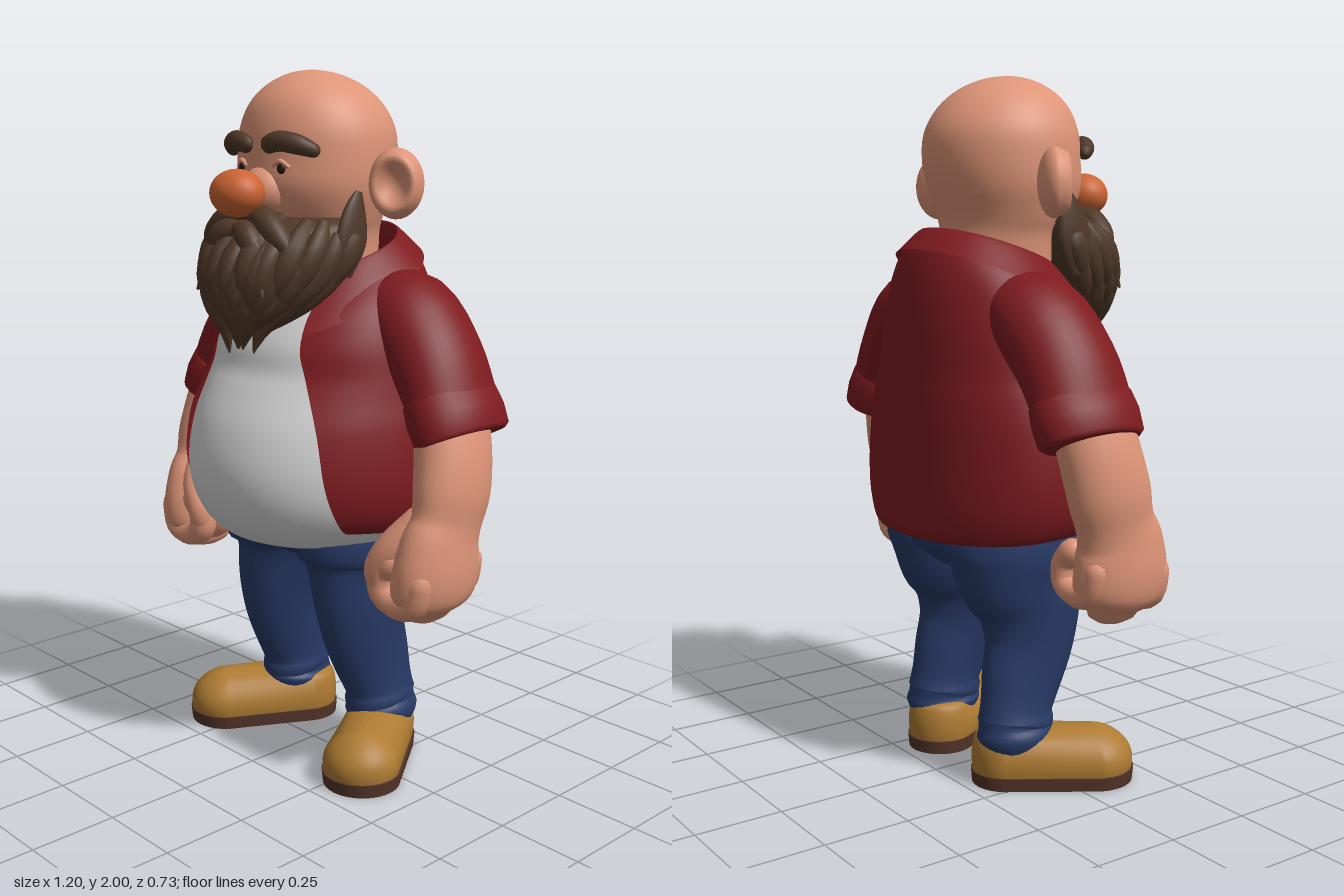
import * as THREE from 'three';
import { mergeVertices } from 'three/addons/utils/BufferGeometryUtils.js';

const V = (x, y, z) => new THREE.Vector3(x, y, z);
const TAU = Math.PI * 2;

// Smoothly interpolate rows of numbers, n steps per gap
function smooth(rows, n = 4) {
  const out = [];
  const at = i => rows[Math.min(rows.length - 1, Math.max(0, i))];
  for (let i = 0; i < rows.length - 1; i++) for (let k = 0; k < n; k++) {
    const t = k / n, [a, b, c, d] = [at(i - 1), at(i), at(i + 1), at(i + 2)];
    out.push(b.map((p, j) => 0.5 * (2 * p + (c[j] - a[j]) * t
      + (2 * a[j] - 5 * p + 4 * c[j] - d[j]) * t * t + (3 * p - a[j] - 3 * c[j] + d[j]) * t * t * t)));
  }
  out.push(rows[rows.length - 1]);
  return out;
}

// Skin rings of points; closed rings wrap round and get flat caps
function loft(rings, closed = true) {
  const m = rings[0].length, pos = [], idx = [];
  rings.forEach(r => r.forEach(p => pos.push(p.x, p.y, p.z)));
  for (let i = 0; i < rings.length - 1; i++) for (let j = 0; j < (closed ? m : m - 1); j++) {
    const k = (j + 1) % m, a = i * m + j, b = i * m + k, c = a + m, d = b + m;
    idx.push(a, b, d, a, d, c);
  }
  if (closed) [rings[0], rings[rings.length - 1]].forEach((r, end) => {
    const base = pos.length / 3, mid = V(0, 0, 0);
    r.forEach(p => { pos.push(p.x, p.y, p.z); mid.addScaledVector(p, 1 / m); });
    pos.push(mid.x, mid.y, mid.z);
    for (let j = 0; j < m; j++) {
      const k = base + (j + 1) % m;
      idx.push(base + m, end ? base + j : k, end ? k : base + j);
    }
  });
  const g = new THREE.BufferGeometry();
  g.setAttribute('position', new THREE.Float32BufferAttribute(pos, 3));
  g.setIndex(idx);
  g.computeVertexNormals();
  return g;
}

// Point on a level body ring; row = [y, half width, front z, back z, middle z, forward tilt]
function bodyPoint([y, rx, zf, zb, zc = 0, tilt = 0], a, n = 2) {
  const pw = v => Math.sign(v) * Math.abs(v) ** (2 / n), c = pw(Math.cos(a));
  const dz = c * (c > 0 ? zf - zc : zc - zb);
  return V(pw(Math.sin(a)) * rx, y - tilt * dz, zc + dz);
}
const body = (rows, n = 2, seg = 48) => loft(smooth(rows).map(r =>
  Array.from({ length: seg }, (_, j) => bodyPoint(r, j / seg * TAU, n))));

// Garment open at the front; the seventh number of a row is the half gap
const openBody = (rows, n, seg = 56) => loft(smooth(rows).map(r => {
  const a0 = Math.asin(Math.min(1, r[6] / r[1]) ** (n / 2));
  return Array.from({ length: seg + 1 }, (_, j) => bodyPoint(r, a0 + (TAU - 2 * a0) * j / seg, n));
}), false);

// Limb along a path; row = [x, y, z, half width, half depth along ref]
function limb(rows, { ref = V(0, 0, 1), n = 4, seg = 20, round = false } = {}) {
  const r = smooth(rows, n), P = r.map(q => V(q[0], q[1], q[2]));
  const ringAt = (i, push, s) => {
    const t = P[Math.min(i + 1, P.length - 1)].clone().sub(P[Math.max(i - 1, 0)]).normalize();
    const u = ref.clone().cross(t).normalize(), v = t.clone().cross(u);
    const A = r[i][3] * s, B = r[i][4] * s, c = P[i].clone().addScaledVector(t, push * r[i][3]);
    return Array.from({ length: seg }, (_, j) => c.clone()
      .addScaledVector(u, A * Math.cos(j / seg * TAU)).addScaledVector(v, B * Math.sin(j / seg * TAU)));
  };
  const rings = P.map((_, i) => ringAt(i, 0, 1)), e = P.length - 1;
  if (round) for (const [push, s] of [[0.5, 0.86], [0.85, 0.52], [0.98, 0.15]]) {
    rings.unshift(ringAt(0, -push, s));
    rings.push(ringAt(e, push, s));
  }
  return loft(rings);
}

function mirror(geo) {
  const g = geo.clone().scale(-1, 1, 1), ix = g.index.array;
  for (let i = 0; i < ix.length; i += 3) [ix[i], ix[i + 1]] = [ix[i + 1], ix[i]];
  g.computeVertexNormals();
  return g;
}

export function createModel() {
  const model = new THREE.Group();
  model.name = 'beardedMan';
  const mat = (name, color, side = THREE.FrontSide) => {
    const m = new THREE.MeshStandardMaterial({ color, side });
    m.name = name;
    return m;
  };
  const skin = mat('skin', 0xde9578), noseMat = mat('nose', 0xcc6433), hair = mat('hair', 0x4f3828);
  const red = mat('redShirt', 0x7e1b1f, THREE.DoubleSide), white = mat('undershirt', 0xd6d6d6, THREE.DoubleSide);
  const denim = mat('denim', 0x273a66), tan = mat('tanShoe', 0xae7b33), soleMat = mat('sole', 0x523428);
  const dark = mat('eye', 0x24160f);
  const add = (name, geo, m) => {
    const mesh = new THREE.Mesh(geo, m);
    mesh.name = name;
    model.add(mesh);
  };
  const pair = (name, geo, m) => { add(name + 'Left', geo, m); add(name + 'Right', mirror(geo), m); };

  // Head, neck and nose
  add('head', body([[1.4, .17, .08, -.2], [1.54, .18, .12, -.19], [1.6, .2, .17, -.192], [1.68, .225, .208, -.222],
    [1.76, .23, .206, -.24], [1.84, .222, .2, -.235], [1.91, .187, .177, -.195], [1.96, .132, .132, -.135],
    [1.99, .065, .075, -.062], [2, .004, .018, .01]]), skin);
  add('noseBridge', new THREE.SphereGeometry(1, 24, 16).scale(.075, .07, .07).translate(0, 1.675, .175), skin);
  add('nose', new THREE.SphereGeometry(1, 32, 20).scale(.083, .065, .07).translate(0, 1.67, .283), noseMat);

  // Ears: flattened balls with a dished front
  const ball = new THREE.SphereGeometry(1, 32, 24).rotateX(Math.PI / 2);
  ball.deleteAttribute('uv');
  ball.deleteAttribute('normal');
  const ear = mergeVertices(ball, 1e-4), ep = ear.attributes.position;
  for (let i = 0; i < ep.count; i++) if (ep.getZ(i) > 0) {
    const r = Math.min(1, Math.hypot(ep.getX(i), ep.getY(i)));
    ep.setZ(i, .25 * (1 - r * r) + .75 * Math.sin(Math.PI * r ** 2.2));
  }
  ear.scale(.078, .096, .046).rotateY(.5).translate(.283, 1.695, -.04);
  ear.computeVertexNormals();
  pair('ear', ear, skin);

  // Eyes, lids and brows
  pair('eye', new THREE.SphereGeometry(1, 16, 12).scale(.014, .015, .01).translate(.08, 1.735, .194), dark);
  pair('eyelid', limb([[.058, 1.742, .201, .005, .006], [.08, 1.755, .198, .007, .008], [.104, 1.74, .189, .005, .006]],
    { seg: 8, round: true }), skin);
  pair('eyebrow', limb([[.05, 1.8, .21, .026, .022], [.09, 1.808, .206, .028, .026], [.135, 1.799, .184, .027, .026],
    [.166, 1.784, .157, .02, .02]], { round: true }), hair);

  // Beard: solid core with layers of pointed tufts
  const core = [[1.29, .03, .295, .22, .26], [1.35, .11, .325, .14, .21], [1.42, .18, .338, .07, .14],
    [1.5, .22, .325, .03, .09], [1.56, .228, .28, .01, .07], [1.59, .215, .235, .01, .06], [1.605, .18, .19, .02, .05]];
  add('beard', body(core), hair);
  const fine = smooth(core, 12);
  const onBeard = (a, y) => bodyPoint(fine.reduce((p, q) => Math.abs(q[0] - y) < Math.abs(p[0] - y) ? q : p), a);
  for (const [count, y0, len, spread] of [[14, 1.585, .24, 1.6], [13, 1.53, .23, 1.6], [10, 1.46, .2, 1.4], [6, 1.4, .125, .9]])
    for (let i = 0; i < count; i++) {
      const a = spread * (2 * i / (count - 1) - 1), out = V(Math.sin(a), 0, Math.cos(a));
      const rows = [[0, .018, .01, 0], [.25, .031, .022, .004], [.6, .029, .021, .012], [1, .002, .002, .016]].map(([t, w, d, o]) => {
        const y = y0 + .025 * Math.cos(i * 2.4) - len * t, p = onBeard(a, Math.max(y, 1.29)).addScaledVector(out, o);
        return [p.x, y, p.z, w, d];
      });
      add('beardTuft', limb(rows, { ref: out, seg: 10, n: 3 }), hair);
    }
  for (const [drop, wide] of [[0, 1], [.04, .68]])
    pair('moustache', limb([[0, 1.615 - drop, .235 + drop, .022, .025], [.07 * wide, 1.602 - drop, .25 + drop, .036, .036],
      [.14 * wide, 1.55 - 1.3 * drop, .25 + drop, .03, .032], [.205 * wide, 1.46 - 1.5 * drop, .22 + 2.4 * drop, .003, .003]],
    { seg: 14 }), hair);
  pair('sideburn', limb([[.226, 1.675, .045, .006, .012], [.226, 1.62, .06, .018, .04], [.228, 1.54, .075, .02, .055],
    [.222, 1.45, .1, .01, .03]], { seg: 14 }), hair);

  // Undershirt over the belly, front only
  const belly = [[.7, .2, .17, -.1], [.685, .28, .245, -.1], [.735, .34, .315, -.1], [.82, .388, .355, -.1],
    [.92, .398, .364, -.1], [1.03, .39, .338, -.1], [1.12, .37, .292, -.09], [1.18, .355, .257, -.07],
    [1.28, .33, .238, -.05, .1], [1.38, .28, .192, -.05, .2], [1.47, .22, .12, -.05, .3]];
  add('undershirt', loft(smooth(belly.map(([y, rx, zf, zc, tilt = 0]) => [y, rx, zf, -.3, zc, tilt])).map(r =>
    Array.from({ length: 41 }, (_, j) => bodyPoint(r, -1.3 + 2.6 * j / 40, 2.1))), false), white);

  // Open shirt and folded collar
  add('shirt', openBody([[.77, .33, .26, -.31, -.1, -.04, .285], [.735, .365, .325, -.35, -.1, -.06, .3],
    [.8, .405, .362, -.36, -.1, -.02, .31], [.9, .42, .376, -.357, -.1, 0, .302], [1.03, .41, .35, -.35, -.1, 0, .275],
    [1.12, .39, .304, -.345, -.09, 0, .235], [1.18, .375, .269, -.34, -.07, 0, .203], [1.28, .35, .25, -.335, -.05, .1, .175],
    [1.38, .31, .205, -.32, -.05, .2, .16], [1.45, .25, .14, -.295, -.05, .3, .15], [1.48, .205, .1, -.255, -.05, .34, .14]], 2.1), red);
  add('collar', openBody([[1.44, .19, .09, -.23, -.05, .34, .12], [1.5, .2, .1, -.24, -.05, .34, .13],
    [1.497, .215, .13, -.255, -.05, .36, .135], [1.405, .287, .28, -.311, -.05, .43, .185]], 2.1), red);

  // Sleeves with rolled cuffs
  pair('sleeve', limb([[.15, 1.36, -.1, .08, .1], [.28, 1.335, -.1, .122, .142], [.395, 1.225, -.088, .118, .148],
    [.47, 1.1, -.083, .1, .15], [.495, 1.05, -.083, .095, .15]], { seg: 32 }), red);
  pair('cuff', limb([[.45, 1.135, -.083, .09, .145], [.455, 1.125, -.083, .102, .157], [.478, 1.08, -.082, .109, .163],
    [.502, 1.03, -.082, .105, .16], [.507, 1.02, -.082, .092, .148]], { seg: 32, n: 1 }), red);

  // Forearms and fists
  pair('forearm', limb([[.47, 1.1, -.07, .085, .12], [.5, .98, -.05, .09, .122], [.515, .88, -.03, .087, .124],
    [.515, .8, -.01, .078, .118], [.51, .74, .008, .085, .135], [.505, .66, .018, .092, .145], [.495, .6, .015, .085, .135],
    [.485, .56, .012, .045, .09]], { seg: 28, round: true }), skin);
  [.112, .042, -.026, -.088].forEach((z, i) => pair('finger', limb([[.535, .66], [.518, .595], [.458, .579], [.402, .602],
    [.397, .655], [.43, .695]].map(([x, y]) => [x, y + .008 * i, z, .041 - .002 * i, .042 - .002 * i]),
  { seg: 14, round: true }), skin));
  pair('thumb', limb([[.475, .8, .04, .05, .06], [.43, .735, .1, .048, .05], [.395, .68, .122, .041, .042],
    [.39, .635, .12, .035, .036]], { seg: 16, round: true }), skin);

  // Trousers
  add('hips', body([[.595, .05, .04, -.17, -.05], [.625, .14, .11, -.23, -.05], [.68, .26, .175, -.285, -.05],
    [.75, .312, .195, -.3, -.05], [.82, .32, .2, -.3, -.05]]), denim);
  pair('trouserLeg', limb([[.15, .78, -.055, .15, .24], [.156, .68, -.055, .152, .243], [.157, .6, -.055, .142, .205],
    [.168, .5, -.035, .117, .165], [.175, .4, -.04, .097, .143], [.18, .3, -.07, .085, .13], [.185, .22, -.092, .082, .114],
    [.187, .18, -.097, .09, .118], [.188, .165, -.1, .086, .112], [.19, .14, -.1, .098, .117], [.19, .1, -.1, .085, .1]],
  { seg: 28 }), denim);

  // Shoes turned outward: rings round a toe circle and a heel circle
  const turn = .56;
  const shoeRing = ([y, toe, heel]) => Array.from({ length: 40 }, (_, j) => {
    const a = turn + (j + .5) / 40 * TAU, front = Math.cos(a - turn) > 0, r = front ? toe : heel;
    return V((front ? .305 : .172) + r * Math.sin(a), y, (front ? .095 : -.12) + r * Math.cos(a));
  });
  pair('shoe', loft(smooth([[.03, .109, .095], [.06, .113, .099], [.09, .107, .099], [.118, .088, .095], [.14, .06, .086],
    [.154, .03, .06], [.16, .005, .03]]).map(shoeRing)), tan);
  pair('sole', loft([[0, .112, .099], [.038, .116, .102]].map(shoeRing)), soleMat);
  return model;
}
